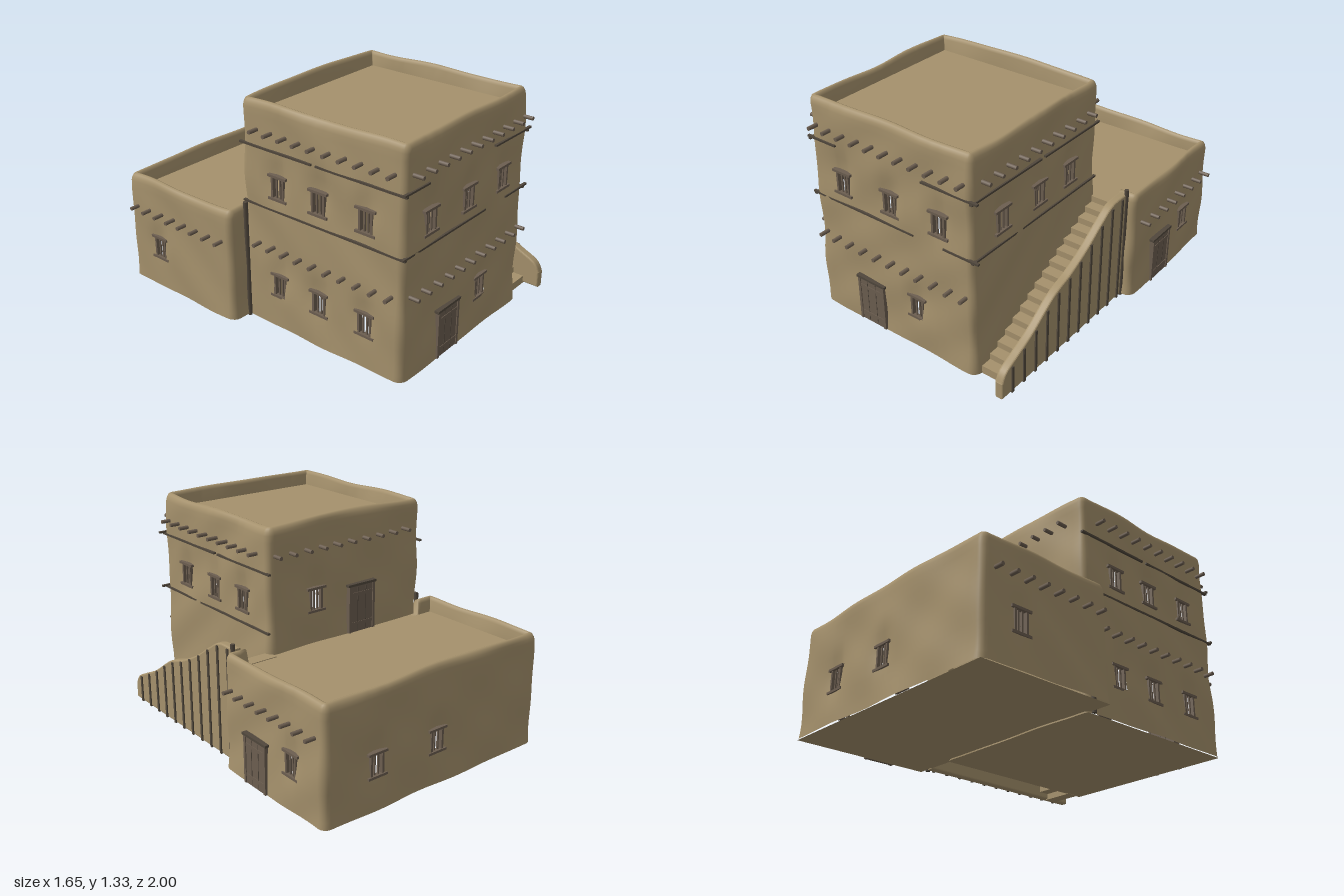
import * as THREE from 'three';

const mat = (name, color, side = THREE.FrontSide) => {
  const m = new THREE.MeshStandardMaterial({ color, side });
  m.name = name;
  return m;
};

export function createModel() {
  const adobe = mat('adobe', 0xa5916c);
  const wood = mat('weathered wood', 0x6c5e50);
  const timber = mat('dark timber', 0x50473c);
  const model = new THREE.Group();
  model.name = 'adobeHouse';

  const add = (parent, name, geo, material, x = 0, y = 0, z = 0) => {
    const m = new THREE.Mesh(geo, material);
    m.name = name;
    m.position.set(x, y, z);
    parent.add(m);
    return m;
  };
  const box = (parent, name, material, w, h, d, x, y, z) =>
    add(parent, name, new THREE.BoxGeometry(w, h, d), material, x, y, z);

  // Sides: 0 front, 1 right (+x), 2 back, 3 left (-x); u runs along each side, seen from outside
  const turn = (s, lx, lz) => {
    const c = [1, 0, -1, 0][s], n = [0, 1, 0, -1][s];
    return [lx * c + lz * n, -lx * n + lz * c];
  };
  const toU = (b, s, w) => [w - b.cx, b.cz - w, b.cx - w, w - b.cz][s];
  const makeBlock = (x0, x1, z0, z1, y0, y1, roof, windows) => {
    const b = { cx: (x0 + x1) / 2, cz: (z0 + z1) / 2, hx: (x1 - x0) / 2, hz: (z1 - z0) / 2, y0, y1, roof };
    b.half = s => (s % 2 ? b.hz : b.hx);
    b.dist = s => (s % 2 ? b.hx : b.hz);
    b.windows = windows.map(([s, w, y]) => ({ s, u: toU(b, s, w), y }));
    return b;
  };
  const WW = 0.084, WH = 0.125; // window opening

  // Even spacing plus exact cuts
  const divide = (a, z, step, cuts) => {
    const n = Math.round((z - a) / step), out = [...new Set(cuts)];
    for (let i = 0; i <= n; i++) {
      const v = a + (z - a) * i / n;
      if (i === 0 || i === n || !cuts.some(c => Math.abs(c - v) < 0.015)) out.push(v);
    }
    return out.sort((p, q) => p - q);
  };

  // Hand-shaped wall skin with window openings and a rounded parapet
  const shell = (b, name, limit, extraCuts = []) => {
    const r = 0.04, cols = [], rows = [];
    for (let s = 0; s < 4; s++) {
      const L = b.half(s), D = b.dist(s);
      const cuts = b.windows.filter(w => w.s === s).flatMap(w => [w.u - WW / 2, w.u + WW / 2]);
      if (s === 0) cuts.push(...extraCuts);
      for (const u of divide(r - L, L - r, 0.04, cuts)) cols.push({ s, u, p: turn(s, u, D), n: turn(s, 0, 1) });
      for (let k = 1; k < 4; k++) {
        const a = k * Math.PI / 8, sn = Math.sin(a), cs = Math.cos(a);
        cols.push({ s, u: 9, p: turn(s, L - r + r * sn, D - r + r * cs), n: turn(s, sn, cs) });
      }
    }
    const yCuts = b.windows.flatMap(w => [w.y - WH / 2, w.y + WH / 2]);
    for (const y of divide(b.y0, b.y1 - 0.045, 0.04, yCuts)) rows.push([0, y]);
    for (const [d, y] of [[0.004, 0.025], [0.013, 0.008], [0.026, 0], [0.038, 0.005], [0.047, 0.022]]) rows.push([d, b.y1 - y]);
    rows.push([0.055, b.roof]);

    const pos = [], idx = [], N = cols.length;
    for (const [d, y] of rows) for (const c of cols) {
      const cl = THREE.MathUtils.clamp;
      let x = cl(c.p[0] - c.n[0] * d, d - b.hx, b.hx - d), z = cl(c.p[1] - c.n[1] * d, d - b.hz, b.hz - d);
      let push = 0, h = y;
      if (y > b.roof) h += 0.006 * Math.sin(5 * x + 1.5) + 0.005 * Math.sin(9 * z + 4 * x);
      if (d < 0.05) {
        push = 0.004 * Math.sin(9 * x + 11 * y + 7 * z) + 0.003 * Math.sin(17 * y - 13 * x + 15 * z)
          + 0.012 * (1 - y / b.y1) ** 2;
        for (const w of b.windows) if (w.s === c.s)
          push -= 0.02 * Math.exp(-(((c.u - w.u) / 0.06) ** 2) - ((y - w.y - 0.06) / 0.1) ** 2);
      }
      x += b.cx + c.n[0] * push;
      z += b.cz + c.n[1] * push;
      pos.push(x, Math.min(h, limit(c)), z);
    }
    for (let j = 0; j < rows.length - 1; j++) for (let i = 0; i < N; i++) {
      const k = (i + 1) % N, um = (cols[i].u + cols[k].u) / 2, ym = (rows[j][1] + rows[j + 1][1]) / 2;
      if (b.windows.some(w => w.s === cols[i].s && Math.abs(um - w.u) < WW / 2 && Math.abs(ym - w.y) < WH / 2)) continue;
      const a = j * N + i, e = j * N + k;
      idx.push(a, e, e + N, a, e + N, a + N);
    }
    const g = new THREE.BufferGeometry();
    g.setAttribute('position', new THREE.Float32BufferAttribute(pos, 3));
    g.setIndex(idx);
    g.computeVertexNormals();
    add(model, name + 'Walls', g, adobe);
    // Roof deck and underside
    const plane = (part, inset, y, rx) => {
      add(model, name + part, new THREE.PlaneGeometry(2 * (b.hx - inset), 2 * (b.hz - inset)), adobe, b.cx, y, b.cz).rotation.x = rx;
    };
    plane('Roof', 0.055, b.roof, -Math.PI / 2);
    plane('Underside', 0, b.y0, Math.PI / 2);
  };

  // Group lying on one side of a block, with +z pointing outward
  const onSide = (b, s, name, u, y) => {
    const g = new THREE.Group(), [x, z] = turn(s, u, b.dist(s));
    g.name = name;
    g.position.set(b.cx + x, y, b.cz + z);
    g.rotation.y = s * Math.PI / 2;
    model.add(g);
    return g;
  };
  const windowFrames = b => b.windows.forEach(w => {
    const g = onSide(b, w.s, 'window', w.u, w.y);
    for (const k of [-1, 1]) {
      box(g, k > 0 ? 'lintel' : 'sill', wood, 0.128, 0.014, 0.028, 0, k * 0.066, -0.004);
      box(g, 'jamb', wood, 0.013, 0.125, 0.024, k * 0.038, 0, -0.008);
      box(g, 'bar', wood, 0.009, 0.125, 0.009, k * 0.012, 0, -0.008);
    }
  });
  const door = (b, s, w, y) => {
    const g = onSide(b, s, 'door', toU(b, s, w), y);
    box(g, 'doorPanel', wood, 0.17, 0.28, 0.04, 0, 0.14, 0);
    box(g, 'doorLintel', timber, 0.21, 0.014, 0.056, 0, 0.287, 0);
    for (const k of [-1, 1]) {
      box(g, 'doorJamb', wood, 0.016, 0.28, 0.052, k * 0.088, 0.14, 0);
      box(g, 'doorStile', timber, 0.004, 0.26, 0.043, k * 0.03, 0.14, 0);
    }
    for (const ry of [0.05, 0.23]) box(g, 'doorRail', wood, 0.16, 0.02, 0.046, 0, ry, 0);
  };
  const beamGeo = new THREE.CylinderGeometry(0.0115, 0.0115, 0.12, 8).rotateX(Math.PI / 2);
  const beams = (b, s, y, from, to, n) => {
    for (let i = 0; i < n; i++) {
      const g = onSide(b, s, 'roofBeam', toU(b, s, from + (to - from) * i / (n - 1)), y);
      add(g, 'beam', beamGeo, wood);
    }
  };
  const rod = (b, s, y, from, to) => {
    const g = onSide(b, s, 'wallRod', toU(b, s, (from + to) / 2), y);
    box(g, 'rod', timber, Math.abs(to - from), 0.011, 0.016, 0, 0, 0.001);
  };

  // Two-storey tower
  const sideZ = [0.69, 0.38, 0.1];
  const tower = makeBlock(-0.637, 0.472, -0.155, 0.93, 0.012, 1.33, 1.24, [
    ...[-0.42, -0.08, 0.25].map(x => [0, x, 0.865]), [0, 0.075, 0.27],
    ...sideZ.flatMap(z => [[1, z, 0.865], [3, z, 0.865], [3, z, 0.27]]), [2, 0.15, 0.865],
  ]);
  shell(tower, 'tower', () => 9);
  windowFrames(tower);
  door(tower, 0, -0.25, 0.02);
  door(tower, 2, -0.17, 0.612);
  beams(tower, 0, 1.165, -0.58, 0.425, 11);
  beams(tower, 0, 0.5, -0.58, 0.425, 11);
  beams(tower, 1, 1.165, -0.05, 0.855, 10);
  beams(tower, 3, 1.165, -0.04, 0.86, 10);
  beams(tower, 3, 0.5, -0.04, 0.86, 10);
  beams(tower, 2, 1.165, -0.5, 0.43, 10);
  rod(tower, 0, 1.08, -0.655, -0.45);
  rod(tower, 0, 1.08, 0.15, 0.51);
  rod(tower, 0, 0.737, -0.655, 0.08);
  rod(tower, 0, 0.737, 0.28, 0.51);
  for (const s of [1, 3]) {
    rod(tower, s, 1.07, -0.165, 0.34);
    rod(tower, s, 1.07, 0.37, 0.94);
    rod(tower, s, 0.73, -0.15, 0.94);
  }

  // Low rear block, its parapet left open toward the tower and the stairs
  const rear = makeBlock(-0.77, 0.762, -0.985, -0.135, 0.02, 0.7, 0.608,
    [[1, -0.72, 0.275], [3, -0.74, 0.275], [2, 0.42, 0.275], [2, 0, 0.275]]);
  const gap = [-0.62, -0.61, 0.635, 0.645];
  shell(rear, 'rearBlock', c => (c.s === 0 && c.u > gap[0] + 0.005 && c.u < gap[3] - 0.005 ? 0.608 : 9), gap);
  windowFrames(rear);
  door(rear, 1, -0.435, 0.02);
  for (const s of [1, 3]) beams(rear, s, 0.5, -0.91, -0.21, 8);

  // Outside stairs
  const steps = 16, rise = 0.59 / steps, run = 1.08 / steps;
  for (let i = 0; i < steps; i++)
    box(model, 'stairStep', adobe, 0.205, rise + 0.012, run + 0.01, 0.56, 0.016 + (i + 0.5) * rise, 0.89 - (i + 0.5) * run);

  // Sloping stair wall, drawn as [z, y] along its top edge
  const edge = [[0.985, 0.11], [0.95, 0.165], [0.85, 0.215], [0.73, 0.275], [0.55, 0.395], [0.4, 0.45],
    [0.25, 0.525], [0.1, 0.625], [0, 0.68], [-0.13, 0.685]];
  const outline = new THREE.Shape();
  outline.moveTo(-0.985, 0.025);
  outline.lineTo(-edge[0][0], edge[0][1]);
  outline.splineThru(edge.slice(1).map(([z, y]) => new THREE.Vector2(-z, y)));
  outline.lineTo(0.13, 0.025);
  const wallGeo = new THREE.ExtrudeGeometry(outline, {
    depth: 0.028, bevelThickness: 0.012, bevelSize: 0.01, bevelSegments: 3, curveSegments: 24,
  }).rotateY(Math.PI / 2);
  add(model, 'stairWall', wallGeo, adobe, 0.662, 0, 0);
  const edgeY = z => {
    const i = Math.max(1, edge.findIndex(e => e[0] <= z)), [za, ya] = edge[i - 1], [zb, yb] = edge[i];
    return ya + (yb - ya) * (z - za) / (zb - za);
  };
  for (let i = 0; i < 11; i++) {
    const z = 0.915 - i * 0.1, h = edgeY(z) - 0.015;
    box(model, 'stairWallPost', timber, 0.012, h, 0.016, 0.703, 0.015 + h / 2, z);
  }

  // Poles where the blocks meet
  for (const [x, z] of [[0.7, -0.132], [-0.655, -0.128]])
    add(model, 'cornerPole', new THREE.CylinderGeometry(0.013, 0.013, 0.715, 8), timber, x, 0.367, z);

  return model;
}
